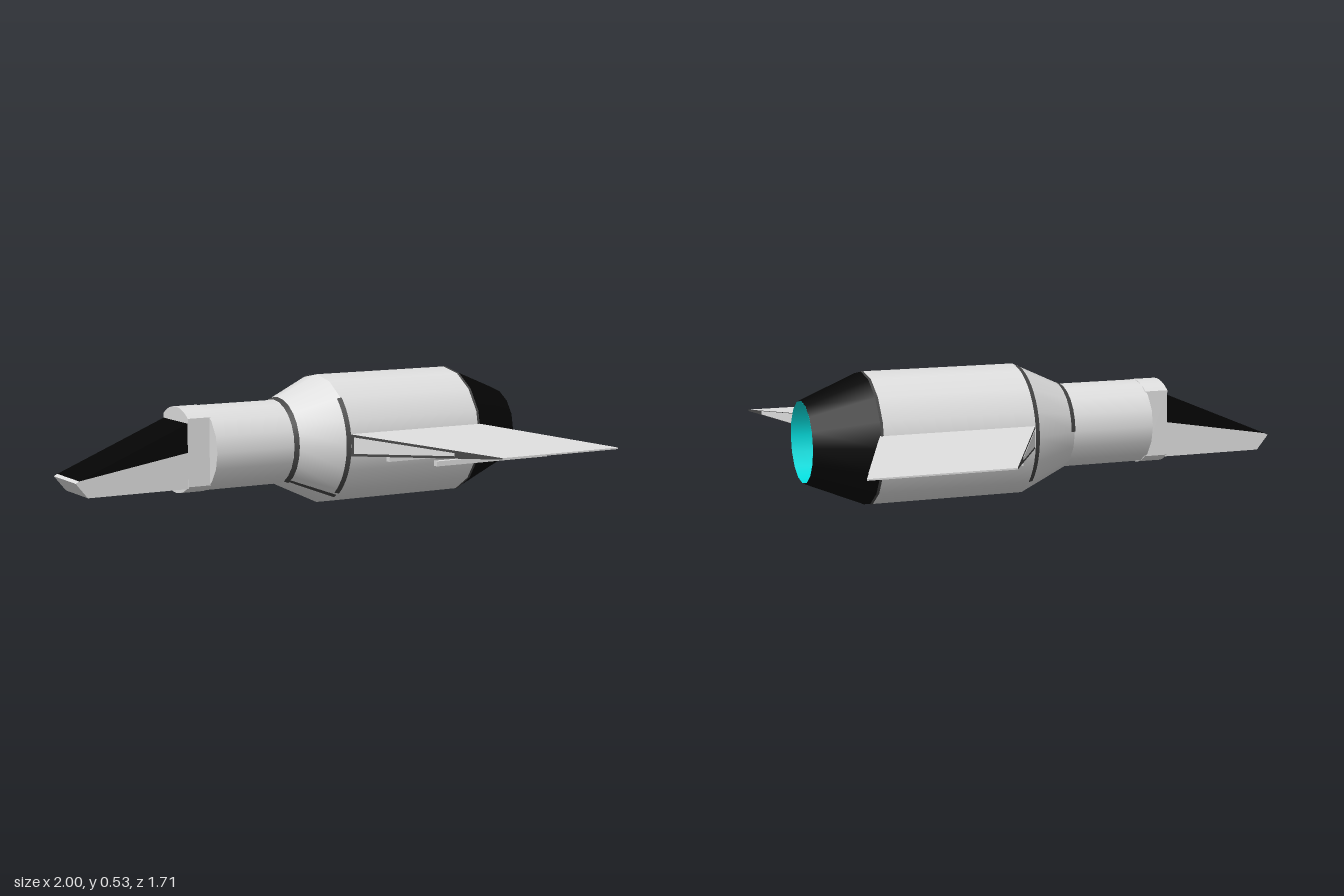
import * as THREE from 'three';

const AXIS_Y = 0.265;
const { lerp, degToRad } = THREE.MathUtils;

function material(name, color, side = THREE.FrontSide) {
  const m = new THREE.MeshStandardMaterial({ color, side });
  m.name = name;
  return m;
}

export function createModel() {
  const model = new THREE.Group();
  model.name = 'rocketShip';
  const hull = material('hullGrey', 0xdedede);
  const black = material('black', 0x050505);
  const seam = material('seamGrey', 0x464646);
  const cyan = material('exhaustCyan', 0x05dfdf, THREE.DoubleSide);
  const blue = material('engineBlue', 0x0482e6, THREE.DoubleSide);

  const add = (name, geometry, mat) => {
    const mesh = new THREE.Mesh(geometry, mat);
    mesh.name = name;
    model.add(mesh);
    return mesh;
  };

  // Round section along x; arc angles run from +z over the top to -z
  const section = (name, x0, r0, x1, r1, mat, open = true, from = 0, to = 360) => {
    const g = new THREE.CylinderGeometry(r0, r1, x1 - x0, 16, 1, open, degToRad(from), degToRad(to - from));
    g.rotateZ(Math.PI / 2);
    g.translate((x0 + x1) / 2, AXIS_Y, 0);
    return add(name, g, mat);
  };

  // Fuselage
  section('neck', -0.43, 0.172, -0.083, 0.172, hull, false);
  section('shoulder', -0.083, 0.172, 0.12, 0.265, hull);
  section('engineBody', 0.12, 0.265, 0.75, 0.265, hull);

  // Painted seams: round the shoulder cone, along its lower front, and before the nozzle
  section('neckSeam', -0.085, 0.174, -0.065, 0.182, seam, true, -60, 180);
  section('shoulderSeamFront', 0.105, 0.261, 0.124, 0.267, seam, true, -50, 45);
  section('shoulderSeamBack', 0.105, 0.261, 0.124, 0.267, seam, true, 100, 225);
  section('shoulderSeamLower', -0.065, 0.181, 0.12, 0.265, seam, true, -58, -53);
  section('nozzleSeam', 0.745, 0.266, 0.756, 0.266, seam);

  // Exhaust nozzle with coloured liner and engine disc
  section('nozzle', 0.75, 0.265, 0.997, 0.163, black);
  section('nozzleLiner', 0.73, 0.162, 0.997, 0.162, cyan);
  const disc = new THREE.CircleGeometry(0.163, 16);
  disc.rotateY(Math.PI / 2);
  disc.translate(0.732, AXIS_Y, 0);
  add('engineDisc', disc, blue);

  // Collar: the neck's circle cut flat on both sides
  const half = 0.107, r = 0.172;
  const a = Math.acos(half / r);
  const collarShape = new THREE.Shape();
  collarShape.absarc(0, 0, r, a, Math.PI - a, false);
  collarShape.absarc(0, 0, r, Math.PI + a, Math.PI * 2 - a, false);
  collarShape.closePath();
  const collar = new THREE.ExtrudeGeometry(collarShape, { depth: 0.1, bevelEnabled: false, curveSegments: 6 });
  collar.rotateY(Math.PI / 2);
  collar.translate(-0.525, AXIS_Y, 0);
  add('collar', collar, hull);

  // Nose: side profiles extruded across the width
  const sideProfile = (name, points, mat) => {
    const shape = new THREE.Shape(points.map(([x, y]) => new THREE.Vector2(x, y)));
    const g = new THREE.ExtrudeGeometry(shape, { depth: 0.21, bevelEnabled: false });
    g.translate(0, 0, -0.105);
    add(name, g, mat);
  };
  sideProfile('noseHull', [[-0.95, 0.123], [-0.52, 0.123], [-0.52, 0.267], [-0.985, 0.191], [-1, 0.183]], hull);
  sideProfile('canopy', [[-0.985, 0.191], [-0.52, 0.267], [-0.52, 0.383]], black);

  // Box tapering outward between two sections given as [x0, x1, y, height, z]
  const taper = (name, side, root, tip, mat) => {
    const g = new THREE.BoxGeometry(1, 1, 1);
    const p = g.attributes.position;
    for (let i = 0; i < p.count; i++) {
      const t = p.getZ(i) * side + 0.5;
      const [x0, x1, y, h, z] = root.map((v, k) => lerp(v, tip[k], t));
      p.setXYZ(i, lerp(x0, x1, p.getX(i) + 0.5), y + p.getY(i) * h, side * z);
    }
    g.computeVertexNormals();
    add(name, g, mat);
  };

  const wingRoot = [0.12, 0.757, 0.268, 0.09, 0.25];
  const wingTip = [0.435, 0.998, 0.268, 0.006, 0.855];
  // Thin plate on the wing's leading (0) or trailing (1) edge
  const edgePlate = (name, side, edge, t0, h0, t1, h1) => {
    const at = (t, h) => {
      const x = lerp(wingRoot[edge], wingTip[edge], t);
      return [x - 0.002, x + 0.002, 0.268, h, lerp(0.25, 0.855, t)];
    };
    taper(name, side, at(t0, h0), at(t1, h1), hull);
  };

  // Swept wings: dark-rimmed edges with pale inset plates, two rails below
  for (const side of [1, -1]) {
    const label = side > 0 ? 'front' : 'back';
    taper(label + 'Wing', side, wingRoot, wingTip, [seam, seam, hull, hull, hull, hull]);
    edgePlate(label + 'LeadingPlate', side, 0, 0.04, 0.066, 0.7, 0.012);
    edgePlate(label + 'TrailingPlate', side, 1, 0.04, 0.082, 0.85, 0.014);

    const outerY = side > 0 ? 0.224 : 0.236;
    for (const [name, x0, x1, y, z] of [
      ['InnerRail', 0.22, 0.79, 0.222, 0.385],
      ['OuterRail', 0.31, 0.845, outerY, 0.587],
    ]) {
      const rail = add(label + name, new THREE.BoxGeometry(x1 - x0, 0.02, 0.022), hull);
      rail.position.set((x0 + x1) / 2, y, side * z);
    }
  }
  return model;
}
